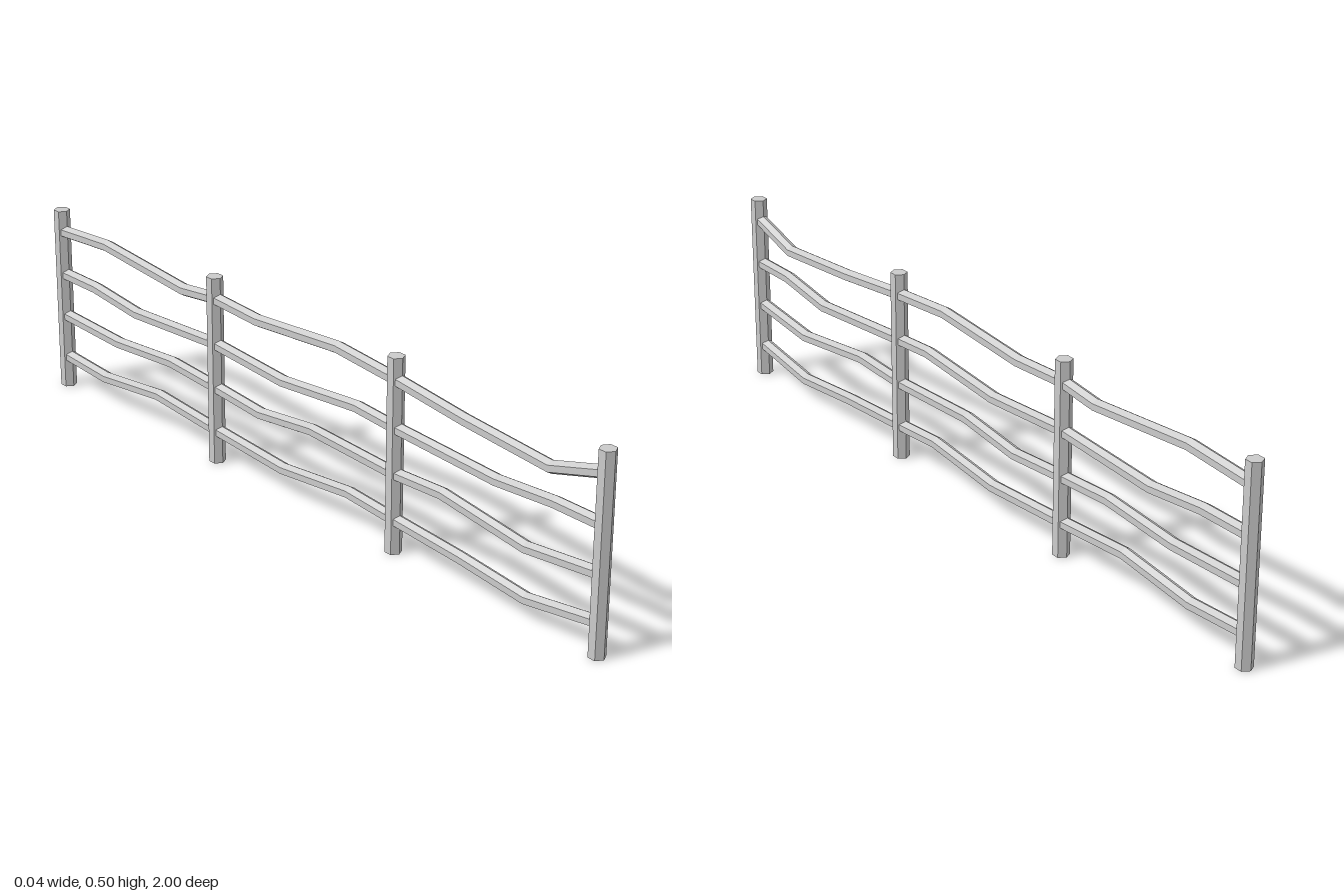
import * as THREE from 'three';

const material = new THREE.MeshStandardMaterial({ color: 0xcccccc, flatShading: true });
const CENTER_X = -0.003;
const SIDES = 6;

// Hexagonal bar swept along points [z, y, sideways offset] running from front to back
function railGeometry(points, radius) {
  const positions = [];
  const index = [];
  points.forEach(([z, y, dx = 0], i) => {
    for (let k = 0; k < SIDES; k++) {
      const a = Math.PI / 2 + (k / SIDES) * Math.PI * 2;
      positions.push(CENTER_X + dx + Math.cos(a) * radius, y + Math.sin(a) * radius, z);
      if (i === points.length - 1) continue;
      const A = i * SIDES + k;
      const B = i * SIDES + (k + 1) % SIDES;
      index.push(A, A + SIDES, B, B, A + SIDES, B + SIDES);
    }
  });
  // End caps
  const last = (points.length - 1) * SIDES;
  for (let k = 1; k < SIDES - 1; k++) {
    index.push(0, k, k + 1, last, last + k + 1, last + k);
  }
  const geometry = new THREE.BufferGeometry();
  geometry.setAttribute('position', new THREE.Float32BufferAttribute(positions, 3));
  geometry.setIndex(index);
  const flat = geometry.toNonIndexed();
  flat.computeVertexNormals();
  return flat;
}

export function createModel() {
  const fence = new THREE.Group();
  fence.name = 'fence';

  // Hexagonal posts
  const postHeight = 0.502;
  const postGeometry = new THREE.CylinderGeometry(0.0213, 0.0213, postHeight, SIDES);
  [0.979, 0.324, -0.336, -0.979].forEach((z, i) => {
    const post = new THREE.Mesh(postGeometry, material);
    post.name = `post${i + 1}`;
    post.position.set(CENTER_X, postHeight / 2, z);
    fence.add(post);
  });

  // Crooked rails, top to bottom
  const rails = [
    [[0.979, 0.447], [0.82, 0.401], [0.553, 0.42], [0.324, 0.444], [0.126, 0.459],
      [-0.168, 0.436], [-0.336, 0.444], [-0.457, 0.43], [-0.778, 0.456], [-0.979, 0.442]],
    [[0.979, 0.322], [0.837, 0.322], [0.65, 0.303, 0.009], [0.324, 0.322], [0.195, 0.33],
      [-0.072, 0.306], [-0.336, 0.322], [-0.655, 0.304], [-0.83, 0.322], [-0.979, 0.322]],
    [[0.979, 0.204], [0.757, 0.18], [0.489, 0.212], [0.324, 0.204], [0.035, 0.214],
      [-0.158, 0.191], [-0.336, 0.204], [-0.51, 0.214], [-0.735, 0.196], [-0.979, 0.204]],
    [[0.979, 0.086], [0.762, 0.054], [0.553, 0.073], [0.324, 0.086], [0.168, 0.096],
      [-0.072, 0.071], [-0.336, 0.086], [-0.57, 0.102], [-0.8, 0.076], [-0.979, 0.086]],
  ];
  rails.forEach((points, i) => {
    const rail = new THREE.Mesh(railGeometry(points, 0.0168), material);
    rail.name = `rail${i + 1}`;
    fence.add(rail);
  });

  return fence;
}
